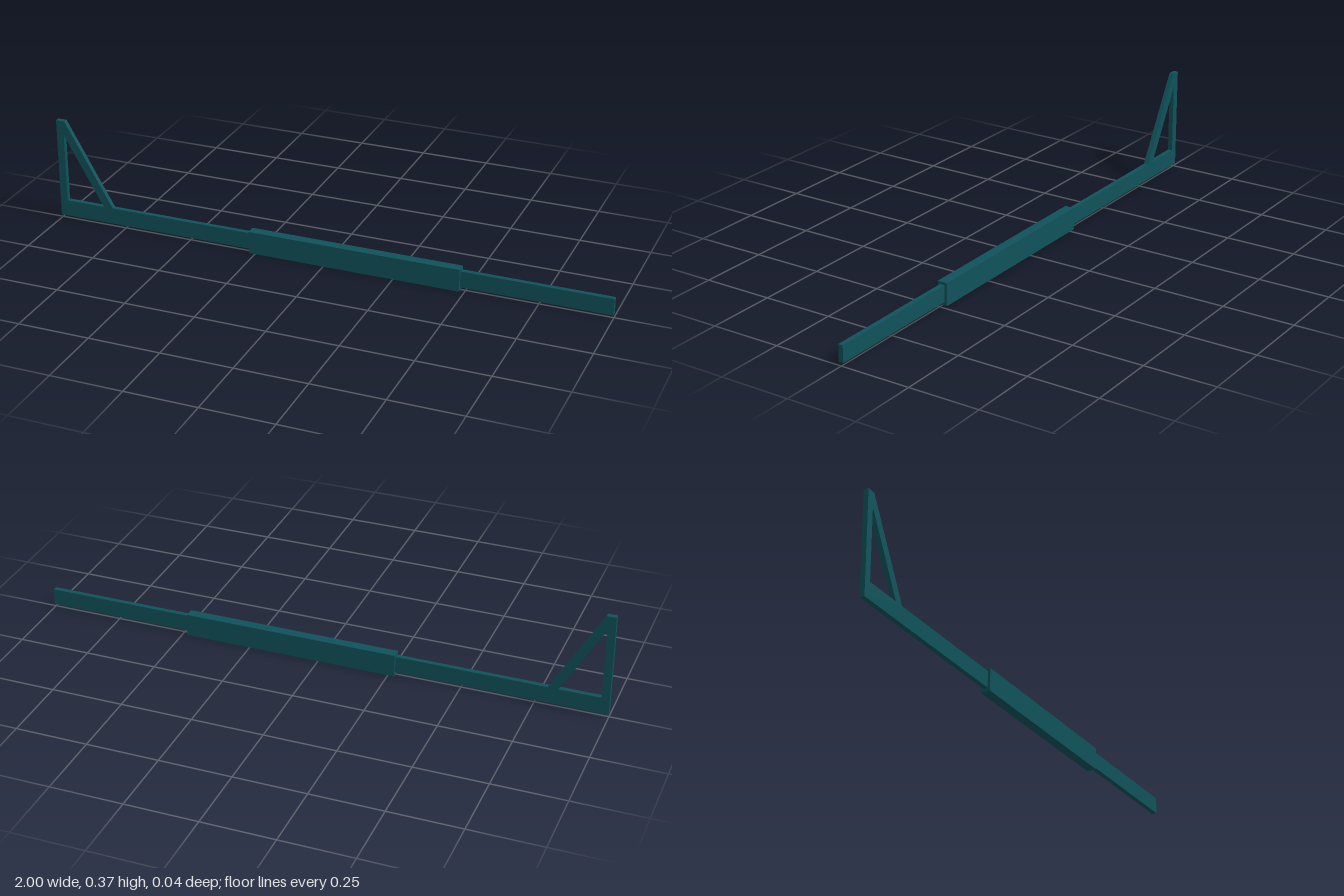
import * as THREE from 'three';

const material = new THREE.MeshStandardMaterial({ color: 0x0f525a });

// Closed outline from a short list of corners
function outline(points, Type = THREE.Shape) {
  return new Type(points.map(([x, y]) => new THREE.Vector2(x, y)));
}

export function createModel() {
  const model = new THREE.Group();
  model.name = 'bracketBar';

  // Flat bar with an upright post and diagonal brace at its right end
  const frame = outline([
    [-1, 0.012], [1, 0.012], [1, 0.071], [-0.795, 0.071], [-0.968, 0.373], [-1, 0.373],
  ]);
  frame.holes.push(outline([[-0.973, 0.071], [-0.973, 0.321], [-0.83, 0.071]], THREE.Path));
  const depth = 0.017;
  const frameGeometry = new THREE.ExtrudeGeometry(frame, { depth, bevelEnabled: false });
  frameGeometry.translate(0, 0, -depth / 2);
  const bar = new THREE.Mesh(frameGeometry, material);
  bar.name = 'barWithBrace';
  model.add(bar);

  // Thicker sleeve around the middle of the bar
  const sleeve = new THREE.Mesh(new THREE.BoxGeometry(0.755, 0.08, 0.035), material);
  sleeve.name = 'sleeve';
  sleeve.position.set(0.105, 0.04, 0);
  model.add(sleeve);

  return model;
}
